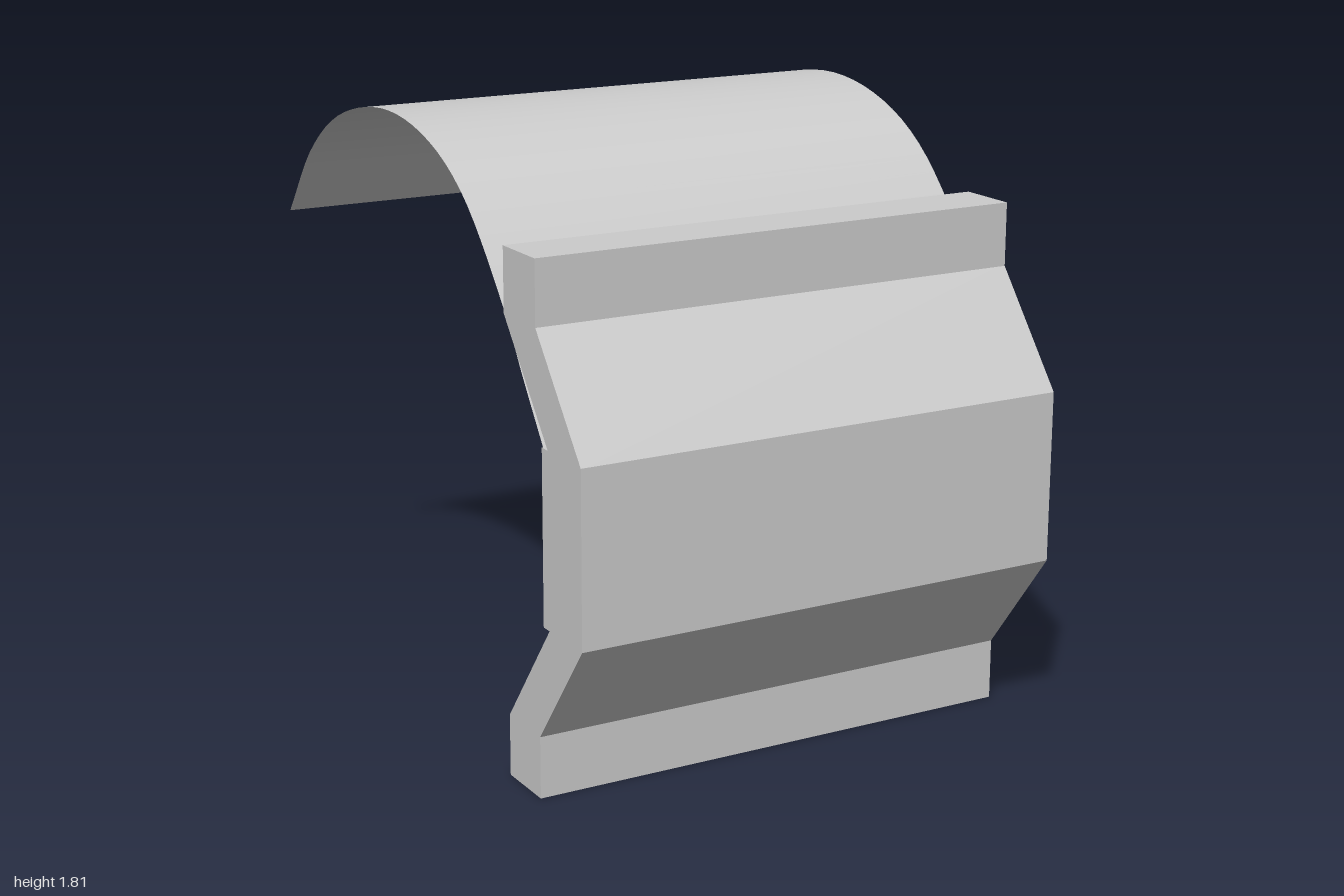
import * as THREE from 'three';

const WIDTH = 1.55;
const material = new THREE.MeshStandardMaterial({ color: 0xcccccc });
const thin = new THREE.MeshStandardMaterial({ color: 0xcccccc, side: THREE.DoubleSide });

export function createModel() {
  const model = new THREE.Group();

  const add = (name, geometry, x = 0, y = 0, z = 0, mat = material) => {
    const mesh = new THREE.Mesh(geometry, mat);
    mesh.name = name;
    mesh.position.set(x, y, z);
    model.add(mesh);
    return mesh;
  };
  const toShape = (points) => new THREE.Shape(points.map(([a, b]) => new THREE.Vector2(a, b)));

  // Extrude a (z, y) profile along x, centred on x = 0
  const alongX = (points, length) =>
    new THREE.ExtrudeGeometry(toShape(points), { depth: length, bevelEnabled: false })
      .translate(0, 0, -length / 2)
      .rotateY(-Math.PI / 2);

  // Folded panel: solid end plates, hollowed middle
  const front = [[0.555, 0], [0.745, 0], [0.745, 0.185], [1, 0.52], [1, 1.035], [0.745, 1.36],
    [0.745, 1.55], [0.555, 1.55], [0.555, 1.36], [0.81, 1.035]];
  const back = [[0.81, 0.52], [0.555, 0.185]];
  const recess = [[0.81, 1.015], [0.96, 1.015], [0.96, 0.54], [0.81, 0.54]];
  const wall = 0.02;
  add('panel', alongX([...front, ...recess, ...back], WIDTH - 2 * wall));
  for (const side of [-1, 1]) {
    add('panelEnd', alongX([...front, ...back], wall), side * (WIDTH - wall) / 2);
  }

  // Rim around the recess
  const w = WIDTH / 2;
  const rim = toShape([[-w, 0.52], [w, 0.52], [w, 1.035], [-w, 1.035]]);
  const i = w - wall;
  rim.holes.push(toShape([[-i, 0.54], [-i, 1.015], [i, 1.015], [i, 0.54]]));
  add('recessRim', new THREE.ExtrudeGeometry(rim, { depth: 0.035, bevelEnabled: false }), 0, 0, 0.775);

  // Rails with rounded ends that turn back into the recess
  const rail = new THREE.Shape();
  rail.moveTo(-0.75, 0.87);
  rail.lineTo(-0.75, 0.79);
  rail.quadraticCurveTo(-0.75, 0.69, -0.6, 0.69);
  rail.lineTo(0.6, 0.69);
  rail.quadraticCurveTo(0.75, 0.69, 0.75, 0.79);
  rail.lineTo(0.75, 0.87);
  rail.lineTo(0.715, 0.87);
  rail.lineTo(0.715, 0.79);
  rail.quadraticCurveTo(0.715, 0.725, 0.6, 0.725);
  rail.lineTo(-0.6, 0.725);
  rail.quadraticCurveTo(-0.715, 0.725, -0.715, 0.79);
  rail.lineTo(-0.715, 0.87);
  const railGeometry = new THREE.ExtrudeGeometry(rail, { depth: 0.06, bevelEnabled: false, curveSegments: 10 })
    .rotateX(Math.PI / 2);
  for (const top of [0.635, 0.705, 0.92, 0.995]) add('rail', railGeometry, 0, top, 0);

  // Upright posts and centre box inside the recess
  const middle = 0.7775;
  for (const side of [-1, 1]) {
    for (const [x, r] of [[0.27, 0.025], [0.4, 0.025], [0.57, 0.055]]) {
      add('post', new THREE.CylinderGeometry(r, r, 0.475, 20), side * x, middle, 0.89);
    }
  }
  add('centreBox', new THREE.BoxGeometry(0.34, 0.3, 0.05), 0, middle, 0.935);
  add('centrePlate', new THREE.BoxGeometry(0.28, 0.15, 0.03), 0, middle, 0.9);

  // Thin curved canopy rising from the panel and arching to the rear
  const arc = new THREE.CatmullRomCurve3(
    [[1.035, 0.785], [1.2, 0.67], [1.375, 0.553], [1.65, 0.3], [1.768, 0.073], [1.812, -0.22],
      [1.745, -0.567], [1.605, -0.8], [1.373, -1]].map(([y, z]) => new THREE.Vector3(0, y, z)),
    false, 'centripetal');
  const canopy = new THREE.PlaneGeometry(WIDTH, 1, 1, 40);
  const pos = canopy.attributes.position;
  for (let k = 0; k < pos.count; k++) {
    const p = arc.getPointAt(THREE.MathUtils.clamp(pos.getY(k) + 0.5, 0, 1));
    pos.setXYZ(k, pos.getX(k), p.y, p.z);
  }
  canopy.computeVertexNormals();
  add('canopy', canopy, 0, 0, 0, thin);

  return model;
}
